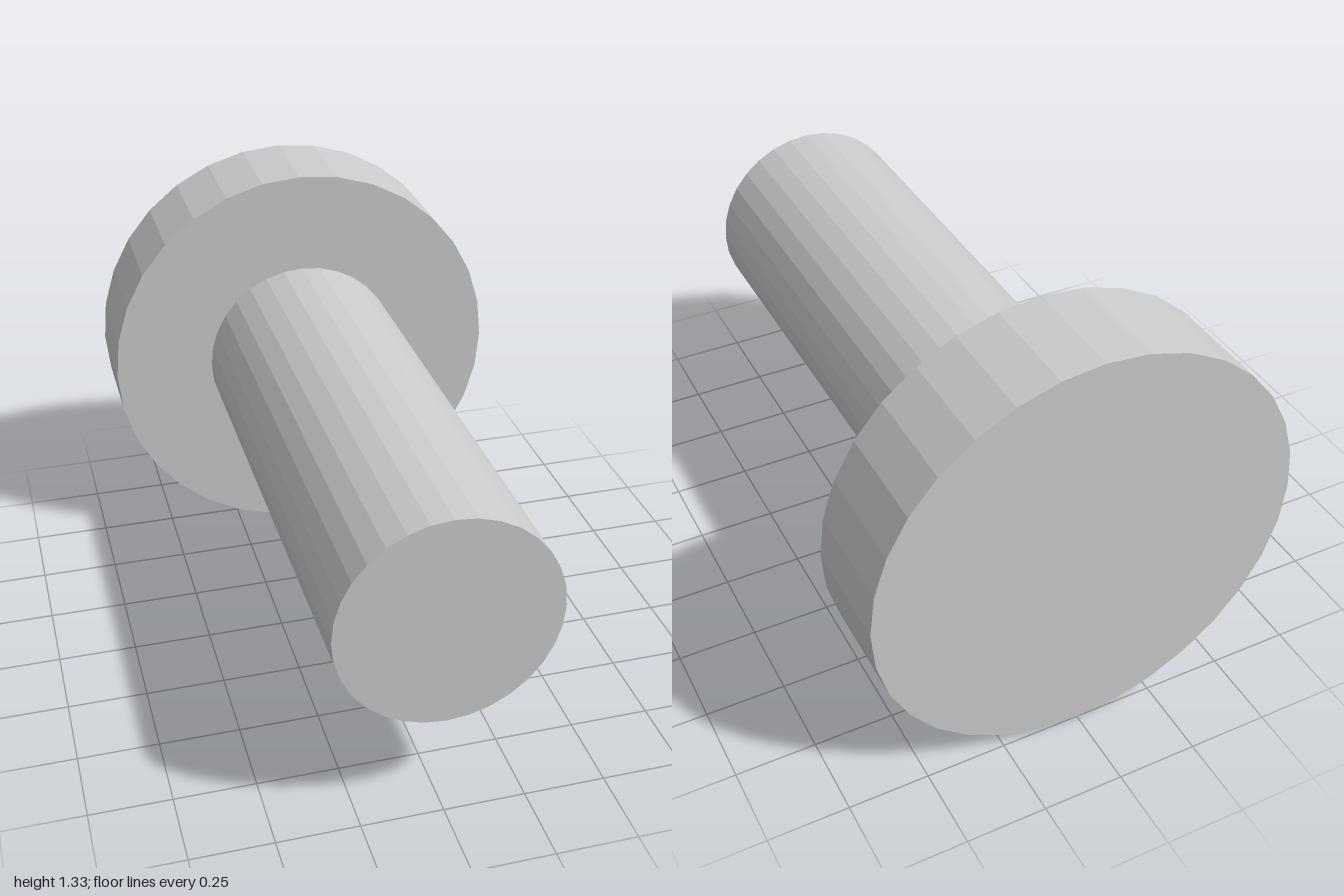
import * as THREE from 'three';

const SIDES = 32;
const AXIS_Y = 0.667;

// Faceted cylinder lying along z, from zBack to zFront
function disc(name, radius, zBack, zFront, material) {
  const geometry = new THREE.CylinderGeometry(radius, radius, zFront - zBack, SIDES);
  geometry.rotateX(Math.PI / 2);
  const mesh = new THREE.Mesh(geometry, material);
  mesh.name = name;
  mesh.position.set(0, AXIS_Y, (zBack + zFront) / 2);
  return mesh;
}

export function createModel() {
  const material = new THREE.MeshStandardMaterial({ color: 0xcccccc, flatShading: true });
  const pin = new THREE.Group();
  pin.name = 'headedPin';

  // Wide head at the back, plain shaft pointing forward
  pin.add(disc('head', 0.667, -1, -0.667, material));
  pin.add(disc('shaft', 0.333, -0.667, 1, material));
  return pin;
}
